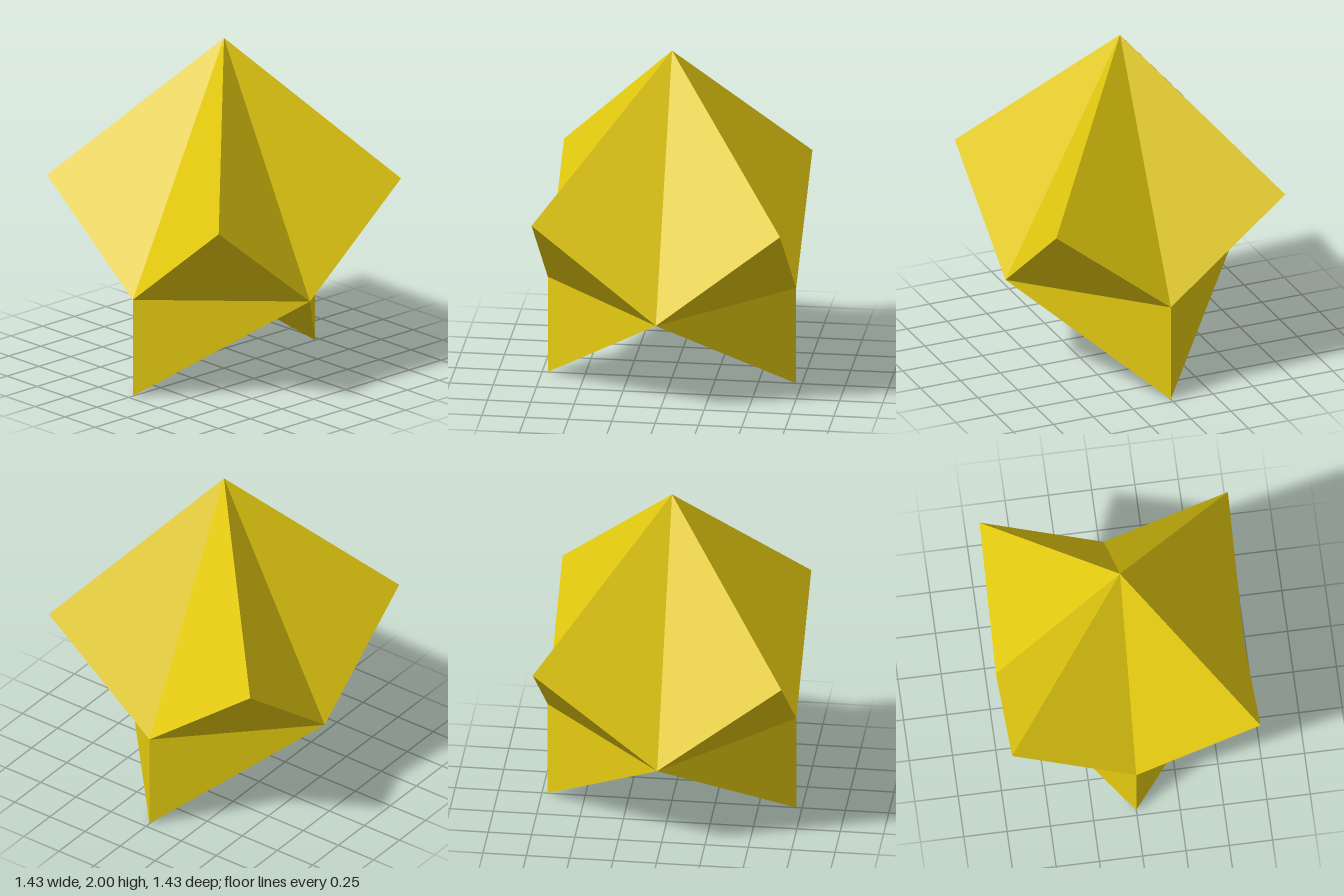
import * as THREE from 'three';

const R = 0.717;      // half width
const WAIST = 0.583;  // height of the four side midpoints
const CORNER = 1.16;  // height of the four raised corners

const material = new THREE.MeshStandardMaterial({ color: 0xe6cc10, flatShading: true });

function facetMesh(name, triangles) {
  const geometry = new THREE.BufferGeometry().setFromPoints(triangles.flat());
  geometry.computeVertexNormals();
  const mesh = new THREE.Mesh(geometry, material);
  mesh.name = name;
  return mesh;
}

export function createModel() {
  const group = new THREE.Group();
  group.name = 'facetedStar';

  // Side midpoints in the order front, left (+x), back, right (-x)
  const apex = new THREE.Vector3(0, 2, 0);
  const mids = [[0, 1], [1, 0], [0, -1], [-1, 0]]
    .map(([x, z]) => new THREE.Vector3(x * R, WAIST, z * R));

  // Four corner spikes sharing the apex, with valleys between them
  for (let k = 0; k < 4; k++) {
    const a = mids[k];
    const b = mids[(k + 1) % 4];
    const corner = new THREE.Vector3(a.x + b.x, CORNER, a.z + b.z);
    group.add(facetMesh('cornerSpike' + (k + 1), [
      [apex, a, corner],
      [apex, corner, b],
      [a, b, corner], // overhang
    ]));
  }

  // Front and back feet hanging below the waist
  for (const k of [0, 2]) {
    const mid = mids[k];
    const next = mids[k + 1];
    const prev = mids[(k + 3) % 4];
    const tip = new THREE.Vector3(mid.x, 0, mid.z);
    group.add(facetMesh(k === 0 ? 'frontFoot' : 'backFoot', [
      [mid, tip, next],
      [prev, tip, mid],
      [prev, next, tip], // sloping underside
    ]));
  }

  return group;
}
